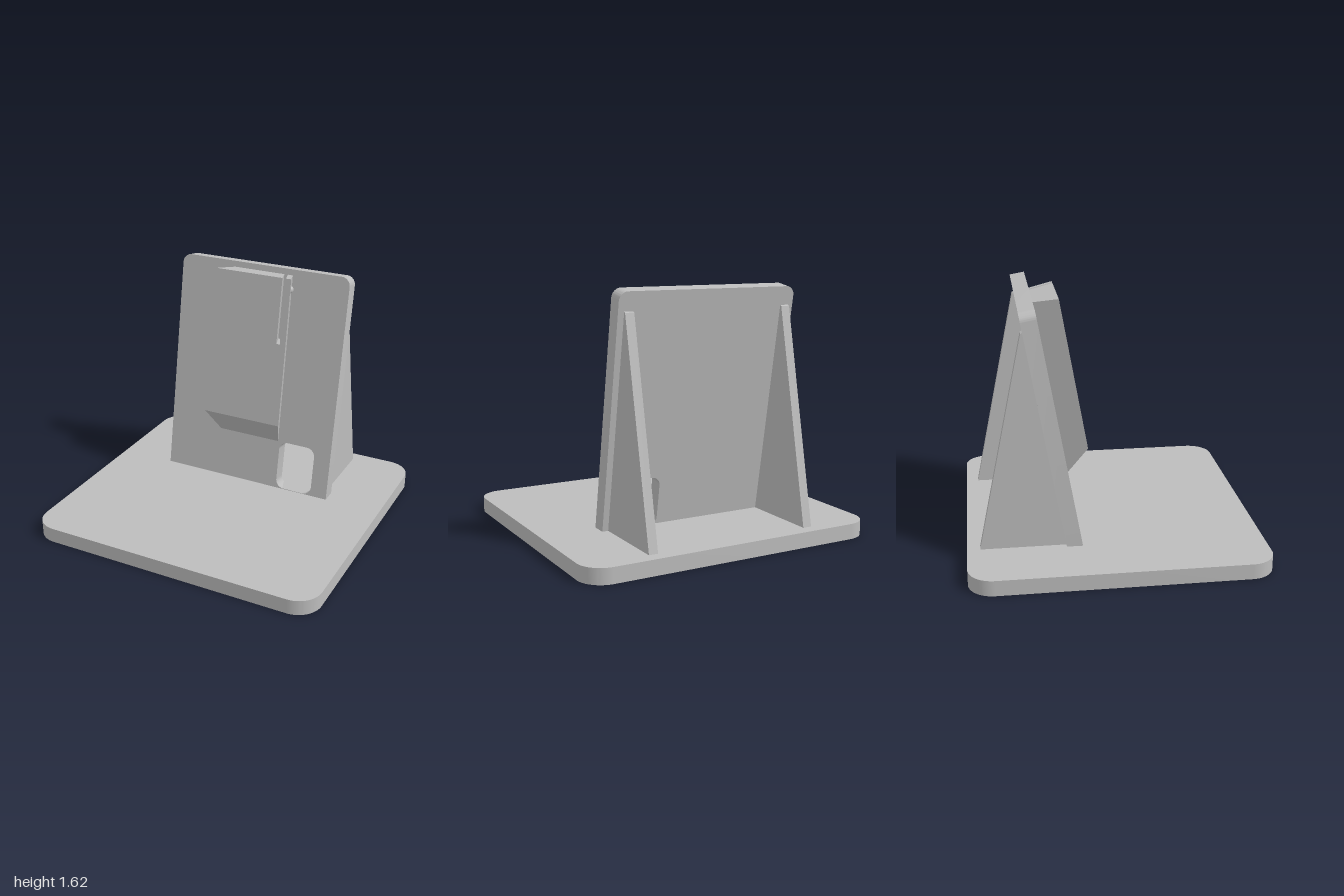
import * as THREE from 'three';
import { toCreasedNormals } from 'three/addons/utils/BufferGeometryUtils.js';

const grey = new THREE.MeshStandardMaterial({ color: 0xbcbcbc });
grey.name = 'grey plastic';

function addMesh(parent, name, geometry) {
  const mesh = new THREE.Mesh(geometry, grey);
  mesh.name = name;
  parent.add(mesh);
  return mesh;
}

// Rectangle with separate bottom and top corner radii
function roundedRect(path, x0, y0, x1, y1, rBottom, rTop) {
  const q = Math.PI / 2;
  path.moveTo(x0 + rBottom, y0);
  path.lineTo(x1 - rBottom, y0);
  if (rBottom) path.absarc(x1 - rBottom, y0 + rBottom, rBottom, -q, 0, false);
  path.lineTo(x1, y1 - rTop);
  path.absarc(x1 - rTop, y1 - rTop, rTop, 0, q, false);
  path.lineTo(x0 + rTop, y1);
  path.absarc(x0 + rTop, y1 - rTop, rTop, q, 2 * q, false);
  path.lineTo(x0, y0 + rBottom);
  if (rBottom) path.absarc(x0 + rBottom, y0 + rBottom, rBottom, 2 * q, 3 * q, false);
  return path;
}

function extrude(shape, depth) {
  const geo = new THREE.ExtrudeGeometry(shape, { depth, bevelEnabled: false, curveSegments: 12 });
  return toCreasedNormals(geo, 0.5);
}

// Sections from bottom to top: [height, back left x, back right x, front left x, front right x, depth]
function loft(sections) {
  const rings = sections.map(([y, bl, br, fl, fr, d]) =>
    [[bl, y, 0], [br, y, 0], [fr, y, d], [fl, y, d]]);
  const pos = [];
  const tri = (a, b, c) => pos.push(...a, ...b, ...c);
  for (let k = 0; k < rings.length - 1; k++) {
    const a = rings[k], b = rings[k + 1];
    for (let i = 0; i < 4; i++) {
      const j = (i + 1) % 4;
      tri(a[j], a[i], b[i]);
      tri(a[j], b[i], b[j]);
    }
  }
  const lo = rings[0], hi = rings[rings.length - 1];
  tri(lo[0], lo[1], lo[2]);
  tri(lo[0], lo[2], lo[3]);
  tri(hi[2], hi[1], hi[0]);
  tri(hi[3], hi[2], hi[0]);
  const geo = new THREE.BufferGeometry();
  geo.setAttribute('position', new THREE.Float32BufferAttribute(pos, 3));
  geo.computeVertexNormals();
  return geo;
}

export function createModel() {
  const model = new THREE.Group();
  model.name = 'stand';

  // Base slab
  const base = extrude(roundedRect(new THREE.Shape(), -1, -0.94, 1, 0.94, 0.16, 0.16), 0.1);
  base.rotateX(-Math.PI / 2);
  addMesh(model, 'base', base);

  // Leaning assembly, its origin on the front foot of the back plate
  const leaning = new THREE.Group();
  leaning.name = 'leaningAssembly';
  leaning.position.set(0, 0.1, -0.217);
  leaning.rotation.x = -Math.PI / 18;
  model.add(leaning);

  // Back plate with cable opening
  const plate = roundedRect(new THREE.Shape(), -0.617, -0.04, 0.617, 1.54, 0, 0.06);
  plate.holes.push(roundedRect(new THREE.Path(), 0.237, 0.003, 0.5, 0.34, 0.06, 0.06));
  addMesh(leaning, 'backPlate', extrude(plate, 0.1)).position.z = -0.1;

  // Dovetail holder: solid lower body, upper body, and spring tab beside the slit
  const D = 0.163, slitY = 1.06, topY = 1.5;
  addMesh(leaning, 'holderLower', loft([
    [0.34, -0.223, 0.223, -0.223, 0.223, 0],
    [0.5, -0.222, 0.222, -0.28, 0.28, D],
    [slitY, -0.218, 0.218, -0.276, 0.276, D],
  ]));
  addMesh(leaning, 'holderUpper', loft([
    [slitY, -0.218, 0.152, -0.276, 0.21, D],
    [topY, -0.214, 0.152, -0.272, 0.21, D],
  ]));
  addMesh(leaning, 'springTab', loft([
    [slitY, 0.178, 0.218, 0.235, 0.276, D],
    [topY, 0.178, 0.214, 0.235, 0.272, D],
  ]));
  addMesh(leaning, 'latchBump', new THREE.SphereGeometry(0.027, 24, 16)).position.set(0.233, 1.417, 0.082);

  // Rear support ribs
  const rib = new THREE.Shape([
    [-0.3, 0.08], [-0.862, 0.08], [-0.858, 0.1], [-0.573, 1.475], [-0.555, 1.485],
  ].map(([z, y]) => new THREE.Vector2(z, y)));
  for (const [name, x] of [['leftRib', 0.547], ['rightRib', -0.555]]) {
    const geo = extrude(rib, 0.06);
    geo.rotateY(-Math.PI / 2);
    addMesh(model, name, geo).position.x = x + 0.03;
  }

  return model;
}
